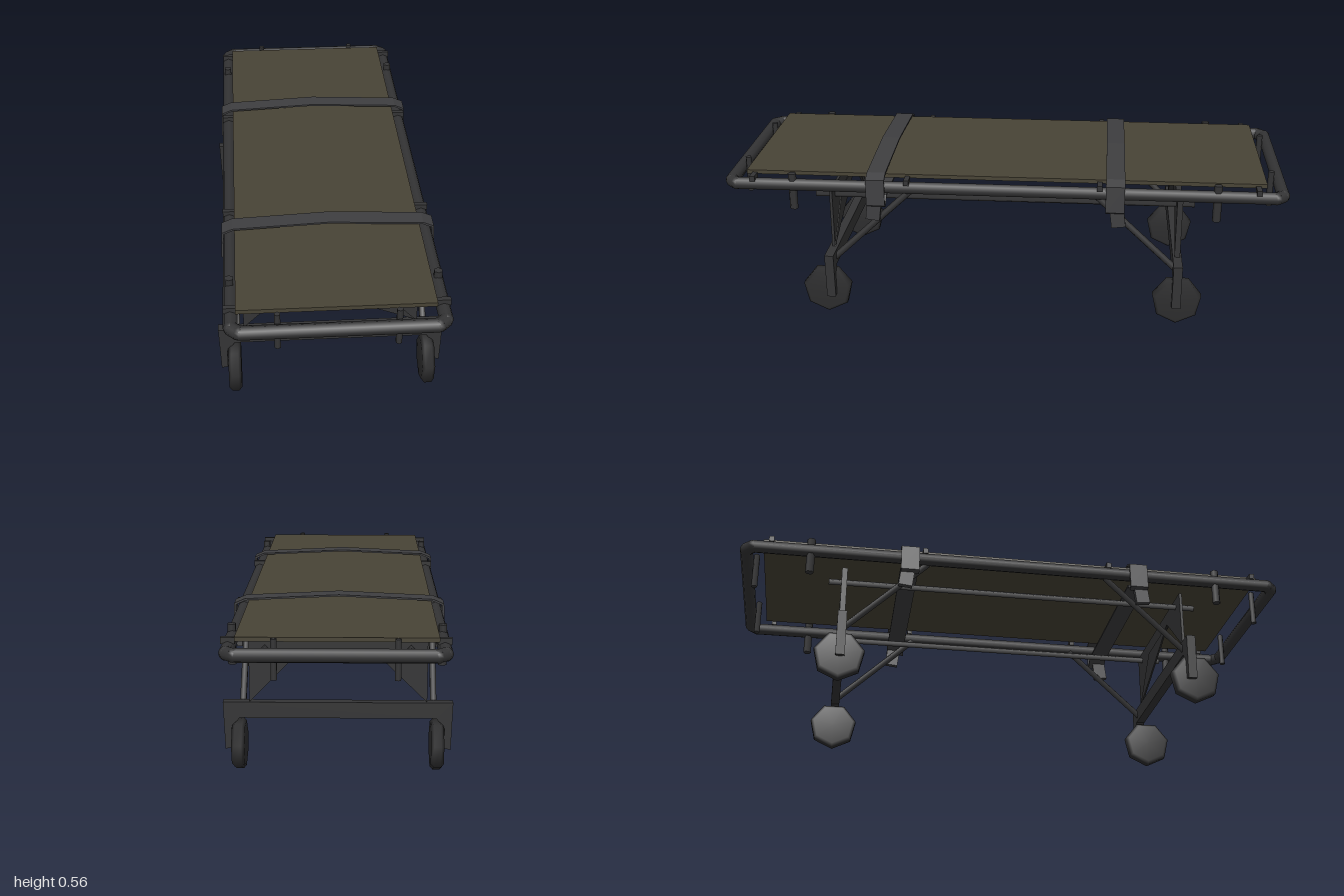
import * as THREE from 'three';

const mat = (name, color, side = THREE.FrontSide) => {
  const m = new THREE.MeshStandardMaterial({ color, side });
  m.name = name;
  return m;
};

export function createModel() {
  const metal = mat('dark metal', 0x343435);
  const strapMat = mat('strap grey', 0x3e3e40, THREE.DoubleSide);
  const canvasMat = mat('olive canvas', 0x484335);
  const rubber = mat('rubber', 0x2d2d2e);

  const model = new THREE.Group();
  model.name = 'stretcher';

  const add = (name, geo, material, x = 0, y = 0, z = 0) => {
    const mesh = new THREE.Mesh(geo, material);
    mesh.name = name;
    mesh.position.set(x, y, z);
    model.add(mesh);
    return mesh;
  };
  const box = (name, w, h, d, material, x, y, z) =>
    add(name, new THREE.BoxGeometry(w, h, d), material, x, y, z);
  const shapeOf = pts => new THREE.Shape(pts.map(p => new THREE.Vector2(...p)));
  const slab = (name, pts, depth, material, z) => {
    const geo = new THREE.ExtrudeGeometry(shapeOf(pts), { depth, bevelEnabled: false });
    return add(name, geo.translate(0, 0, -depth / 2), material, 0, 0, z);
  };
  // Straight round bar between two points
  const bar = (name, a, b, r, sides, material) => {
    const p = new THREE.Vector3(...a), q = new THREE.Vector3(...b);
    const mesh = add(name, new THREE.CylinderGeometry(r, r, p.distanceTo(q), sides), material);
    mesh.position.copy(p).add(q).multiplyScalar(0.5);
    mesh.quaternion.setFromUnitVectors(new THREE.Vector3(0, 1, 0), q.sub(p).normalize());
    return mesh;
  };

  // Tubular outer frame with clipped corners
  const X = 0.335, Z = 0.978, C = 0.025, Y = 0.495;
  const corners = [[X, Z - C], [X - C, Z], [C - X, Z], [-X, Z - C],
    [-X, C - Z], [C - X, -Z], [X - C, -Z], [X, C - Z]].map(([x, z]) => new THREE.Vector3(x, Y, z));
  const path = new THREE.CurvePath();
  corners.forEach((p, i) => path.add(new THREE.LineCurve3(p, corners[(i + 1) % 8])));
  path.curves.forEach(c => {
    bar('frameRail', c.v1.toArray(), c.v2.toArray(), 0.023, 8, metal);
    add('frameCorner', new THREE.SphereGeometry(0.023, 8, 6), metal, c.v1.x, c.v1.y, c.v1.z);
  });

  // Canvas bed
  box('canvas', 0.63, 0.014, 1.84, canvasMat, -0.003, 0.53, 0);

  // Straps looping over the bed and around the rails
  const outer = [[-0.35, 0.425], [-0.366, 0.435], [-0.362, 0.53], [-0.325, 0.546], [0, 0.561],
    [0.325, 0.546], [0.362, 0.53], [0.366, 0.435], [0.35, 0.425], [0.32, 0.455], [-0.32, 0.455]];
  const inner = [[-0.345, 0.436], [-0.358, 0.44], [-0.355, 0.525], [-0.322, 0.54], [0, 0.555],
    [0.322, 0.54], [0.355, 0.525], [0.358, 0.44], [0.345, 0.436], [0.322, 0.462], [-0.322, 0.462]];
  for (const z of [0.45, -0.395]) {
    const shape = shapeOf(outer);
    shape.holes.push(shapeOf(inner));
    const geo = new THREE.ExtrudeGeometry(shape, { depth: 0.066, bevelEnabled: false });
    add('strap', geo.translate(0, 0, -0.033), strapMat, 0, 0, z);
    // Loose strap ends
    for (const s of [-1, 1]) {
      const tail = box('strapTail', 0.02, 0.11, 0.05, strapMat, s * 0.345, 0.43, z + Math.sign(z) * 0.008);
      tail.rotation.x = -Math.sign(z) * 0.12;
    }
  }

  // Pegs and canvas ties around the frame
  for (const sz of [-1, 1]) {
    for (const sx of [-1, 1]) {
      bar('endPeg', [sx * 0.19, 0.41, sz * 0.947], [sx * 0.19, 0.54, sz * 0.947], 0.011, 6, metal);
      bar('sidePeg', [sx * 0.337, 0.405, sz * 0.75], [sx * 0.337, 0.538, sz * 0.75], 0.015, 6, metal);
      for (const z of [0.89, 0.34])
        box('canvasTie', 0.045, 0.02, 0.018, metal, sx * 0.335, 0.52, sz * z);
    }
  }

  // Square rods joining both leg sets
  for (const sx of [-1, 1])
    bar('longRod', [sx * 0.242, 0.426, 0.69], [sx * 0.242, 0.426, -0.68], 0.012, 4, metal);

  // Leg sets
  const axleProfile = [[-0.385, 0.24], [-0.379, 0.075], [-0.357, 0.08], [-0.357, 0.15], [-0.33, 0.185],
    [0.33, 0.185], [0.357, 0.15], [0.357, 0.08], [0.379, 0.075], [0.385, 0.24]];
  const gusset = [[-0.298, 0.457], [-0.298, 0.24], [-0.13, 0.405], [0.135, 0.405], [0.296, 0.24], [0.296, 0.457]];
  const wheelProfile = [[0, -0.022], [0.078, -0.022], [0.09, -0.012], [0.09, 0.012], [0.078, 0.022], [0, 0.022]]
    .map(p => new THREE.Vector2(...p));
  for (const sz of [-1, 1]) {
    const z = sz * 0.625;
    slab('axleBeam', axleProfile, 0.032, metal, z);
    slab('gussetPlate', gusset, sz > 0 ? 0.01 : 0.02, metal, z);
    for (const sx of [-1, 1]) {
      bar('brace', [sx * 0.32, 0.2, z], [sx * 0.325, 0.48, sz * 0.33], 0.012, 6, metal);
      // Faceted wheel, a corner at the bottom
      const wheel = new THREE.LatheGeometry(wheelProfile, 7);
      wheel.rotateZ(Math.PI / 2);
      wheel.rotateX(Math.PI / 2);
      wheel.computeBoundingBox();
      if (wheel.boundingBox.min.y > -0.0899) wheel.rotateX(Math.PI);
      add('wheel', wheel, rubber, sx * 0.332, 0.09, sz > 0 ? 0.645 : -0.628);
      box('wheelAxle', 0.03, 0.02, 0.02, metal, sx * 0.362, 0.09, z);
    }
  }
  // Extra web on the front gusset
  slab('gussetWeb', [[-0.13, 0.406], [0.296, 0.24], [0.135, 0.406]], 0.006, metal, 0.621);

  return model;
}
